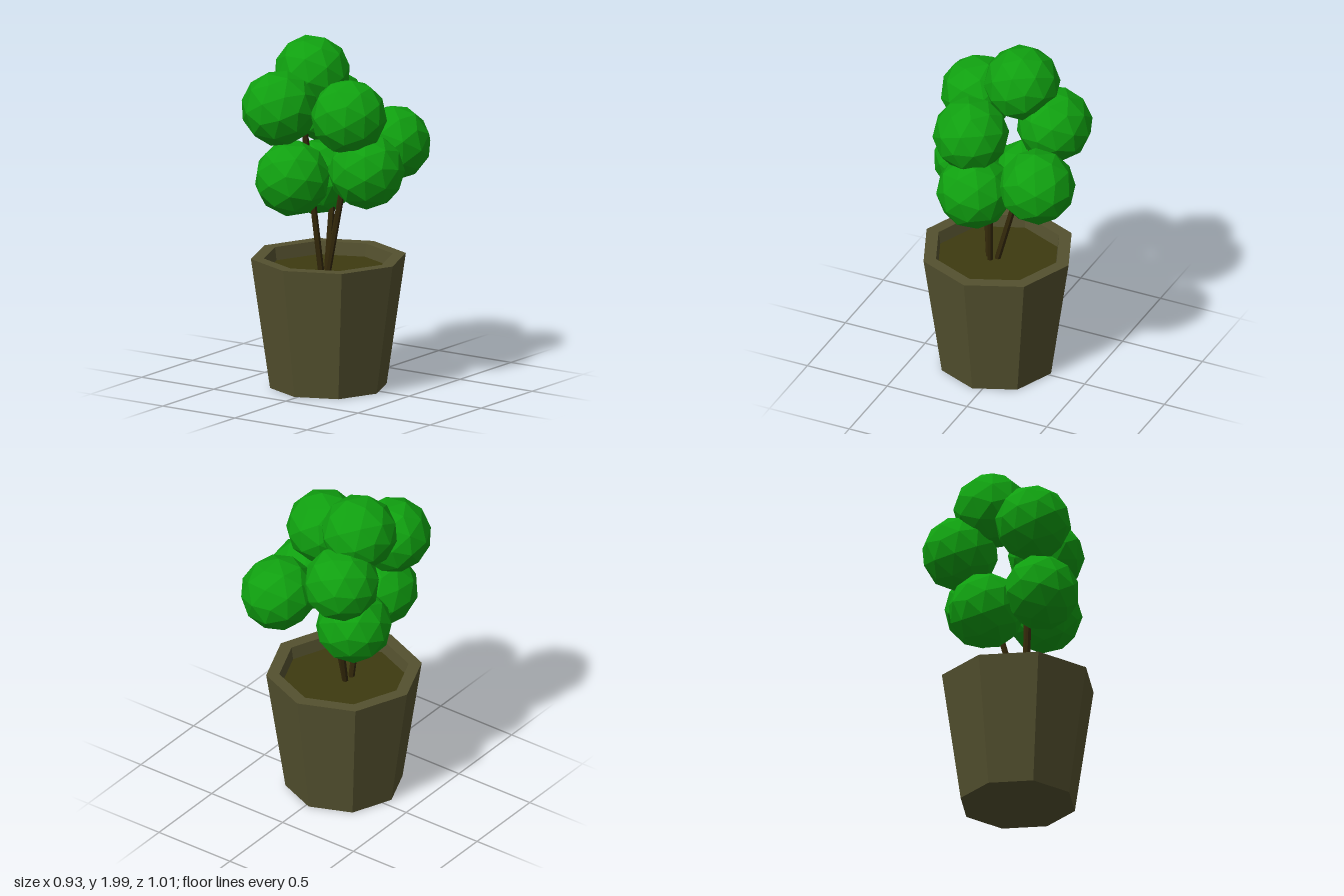
import * as THREE from 'three';

const mat = (color) => new THREE.MeshStandardMaterial({ color, flatShading: true });

export function createModel() {
  const model = new THREE.Group();
  const clay = mat(0x54512f), earth = mat(0x3d3a10), bark = mat(0x33280a), leaf = mat(0x10a010);

  const add = (name, geometry, material, x, y, z) => {
    const mesh = new THREE.Mesh(geometry, material);
    mesh.name = name;
    mesh.position.set(x, y, z);
    model.add(mesh);
    return mesh;
  };

  // Eight-sided tapered pot with a thick rim
  const potX = -0.02, potZ = 0.055;
  const profile = [[0, 0], [0.335, 0], [0.445, 0.755], [0.37, 0.755], [0.358, 0.67]]
    .map(([r, y]) => new THREE.Vector2(r, y));
  add('pot', new THREE.LatheGeometry(profile, 8), clay, potX, 0, potZ);

  // Soil disc inside the rim
  const soil = add('soil', new THREE.CircleGeometry(0.362, 8), earth, potX, 0.68, potZ);
  soil.rotation.x = -Math.PI / 2;

  // Thin stems fanning out from the soil: base, then top
  const up = new THREE.Vector3(0, 1, 0);
  [
    [[-0.027, 0.66, 0.113], [-0.1, 1.58, 0.19]],
    [[0, 0.66, 0.092], [0.13, 1.5, 0.03]],
    [[-0.025, 0.66, 0.062], [-0.085, 1.42, -0.125]],
  ].forEach(([a, b]) => {
    const base = new THREE.Vector3(...a), dir = new THREE.Vector3(...b).sub(base);
    const mid = base.clone().addScaledVector(dir, 0.5);
    const stem = add('stem', new THREE.CylinderGeometry(0.018, 0.018, dir.length(), 6), bark, mid.x, mid.y, mid.z);
    stem.quaternion.setFromUnitVectors(up, dir.normalize());
  });

  // Faceted leaf balls, each turned differently
  const ball = new THREE.IcosahedronGeometry(0.218, 1);
  [
    [-0.185, 1.785, -0.02],
    [-0.212, 1.63, 0.265],
    [0.175, 1.605, 0.13],
    [-0.205, 1.55, -0.215],
    [0.185, 1.375, -0.29],
    [0.255, 1.29, 0.07],
    [-0.12, 1.235, 0.265],
    [-0.175, 1.175, -0.06],
  ].forEach(([x, y, z], i) => {
    add('leafBall', ball, leaf, x, y, z).rotation.set(i * 1.3 + 0.4, i * 2.1, i * 0.7);
  });

  return model;
}
